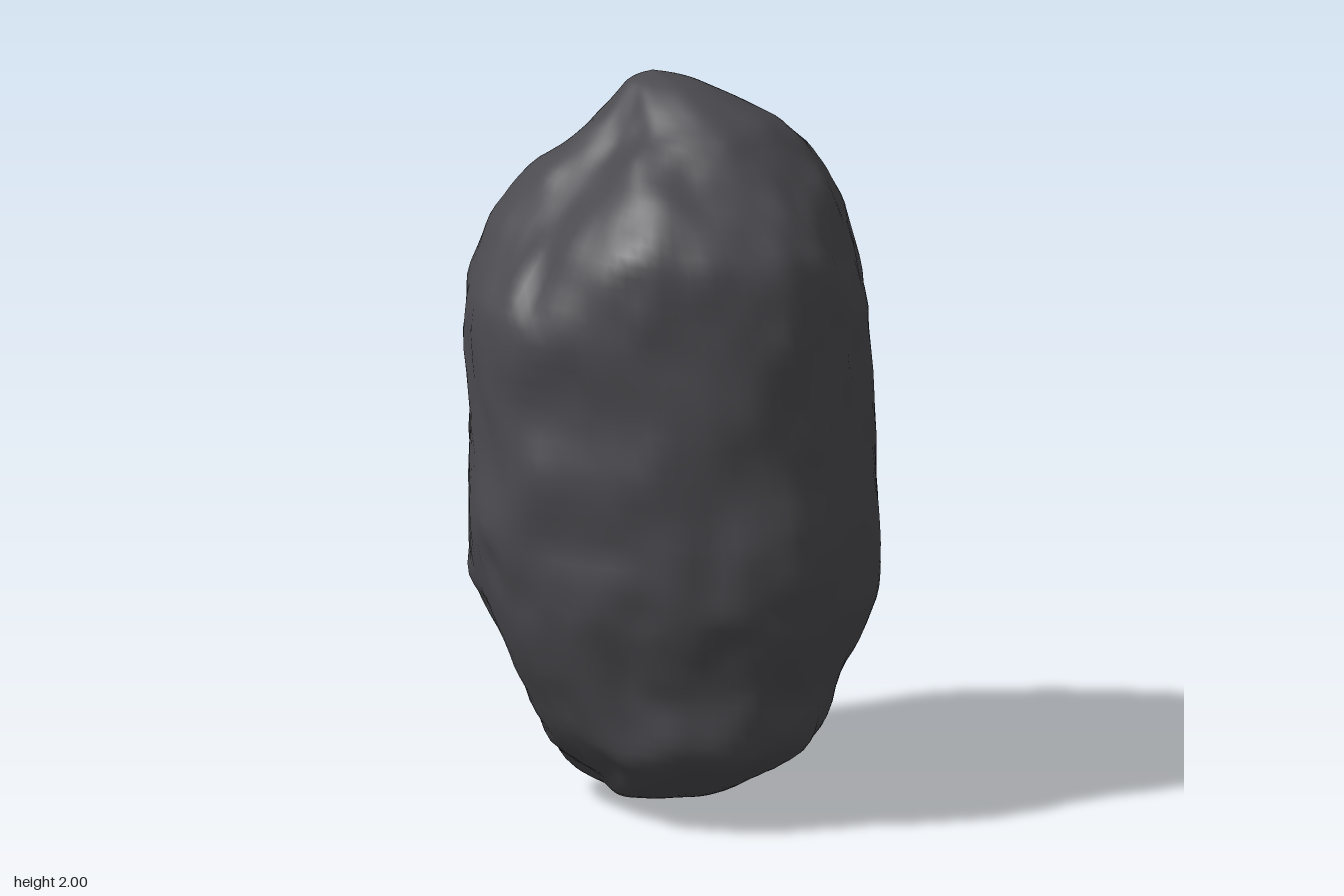
import * as THREE from 'three';
import { mergeVertices } from 'three/addons/utils/BufferGeometryUtils.js';

// Each ring: height, x centre, then radii going from -x through front, +x and back in 45 degree steps
const RINGS = [
  [2.00, -0.08, 0, 0, 0, 0, 0, 0, 0, 0],
  [1.97, -0.05, .10, .09, .07, .08, .13, .13, .11, .10],
  [1.88, 0, .23, .19, .14, .20, .27, .29, .27, .23],
  [1.75, 0, .33, .36, .28, .39, .39, .42, .39, .36],
  [1.60, 0, .44, .49, .43, .51, .53, .48, .49, .44],
  [1.40, 0, .59, .55, .56, .54, .57, .53, .56, .52],
  [1.10, 0, .59, .55, .56, .54, .58, .55, .55, .57],
  [0.80, 0, .60, .54, .56, .52, .60, .57, .55, .58],
  [0.60, 0, .57, .51, .52, .50, .58, .57, .52, .54],
  [0.40, 0, .52, .45, .45, .45, .51, .49, .45, .51],
  [0.20, 0, .41, .34, .33, .41, .46, .39, .36, .41],
  [0.06, -0.1, .18, .20, .16, .29, .32, .23, .26, .25],
  [0.02, -0.13, .09, .09, .09, .11, .13, .11, .12, .10],
  [0.00, -0.14, 0, 0, 0, 0, 0, 0, 0, 0],
];
const ROWS = 78, COLS = 96;

// Knobs and hollows: x, y, z, height, reach
const FEATURES = [
  [-0.20, 0.42, 0.43, -0.022, 0.13],
  [-0.34, 0.62, 0.40, 0.015, 0.12],
  [0.30, 1.54, 0.38, 0.020, 0.14],
  [0.20, 1.22, 0.53, -0.018, 0.16],
  [0.20, 0.76, 0.52, -0.012, 0.12],
  [-0.38, 1.02, -0.41, 0.012, 0.16],
  [-0.36, 0.72, -0.40, -0.012, 0.14],
].map(([x, y, z, height, reach]) => ({ at: new THREE.Vector3(x, y, z), height, reach }));

// Seeded value noise, range -1..1
function hash(x, y, z) {
  const s = Math.sin(x * 127.1 + y * 311.7 + z * 74.7 + 5.3) * 43758.5453;
  return (s - Math.floor(s)) * 2 - 1;
}
function noise(x, y, z) {
  const cell = [x, y, z].map(Math.floor);
  const f = [x, y, z].map((v, i) => v - cell[i]).map((t) => t * t * (3 - 2 * t));
  let sum = 0;
  for (let k = 0; k < 8; k++) {
    const b = [k & 1, (k >> 1) & 1, k >> 2];
    const w = b.reduce((a, bit, i) => a * (bit ? f[i] : 1 - f[i]), 1);
    sum += w * hash(cell[0] + b[0], cell[1] + b[1], cell[2] + b[2]);
  }
  return sum;
}

function rockGeometry() {
  // Eight smooth lengthwise profiles through the rings
  const profiles = [];
  for (let k = 0; k < 8; k++) {
    const a = (k * Math.PI) / 4;
    const points = RINGS.map(([y, cx, ...r]) =>
      new THREE.Vector3(cx - Math.cos(a) * r[k], y, Math.sin(a) * r[k]));
    profiles.push(new THREE.CatmullRomCurve3(points, false, 'catmullrom', 0.4));
  }

  // Wrap a sphere grid over closed loops through the profiles
  let geo = new THREE.SphereGeometry(1, COLS, ROWS);
  let pos = geo.attributes.position;
  for (let i = 0; i <= ROWS; i++) {
    const ring = profiles.map((p) => p.getPoint(i / ROWS));
    const loop = new THREE.CatmullRomCurve3(ring, true, 'catmullrom', 0.5);
    for (let j = 0; j <= COLS; j++) {
      const p = i % ROWS === 0 ? ring[0] : loop.getPoint((j % COLS) / COLS);
      pos.setXYZ(i * (COLS + 1) + j, p.x, p.y, p.z);
    }
  }
  geo.deleteAttribute('uv');
  geo.deleteAttribute('normal');
  geo = mergeVertices(geo, 1e-5);
  geo.computeVertexNormals();

  // Weathered surface: fine lumps plus the larger features, fading out at both ends
  pos = geo.attributes.position;
  const p = new THREE.Vector3(), n = new THREE.Vector3();
  for (let i = 0; i < pos.count; i++) {
    p.fromBufferAttribute(pos, i);
    n.fromBufferAttribute(geo.attributes.normal, i);
    const fade = THREE.MathUtils.clamp(Math.min(p.y, 2 - p.y) / 0.15, 0, 1);
    let d = -0.004 + 0.011 * noise(p.x * 7, p.y * 6, p.z * 7)
      + 0.009 * noise(p.x * 14, p.y * 11, p.z * 14);
    for (const { at, height, reach } of FEATURES) {
      d += height * Math.exp(-p.distanceToSquared(at) / (reach * reach));
    }
    p.addScaledVector(n, d * fade);
    pos.setXYZ(i, p.x, p.y, p.z);
  }
  geo.computeVertexNormals();
  return geo;
}

export function createModel() {
  const group = new THREE.Group();
  group.name = 'boulder';
  const stone = new THREE.MeshStandardMaterial({ color: 0x4b4a4f });
  stone.name = 'dark grey stone';
  const rock = new THREE.Mesh(rockGeometry(), stone);
  rock.name = 'rock';
  group.add(rock);
  return group;
}
